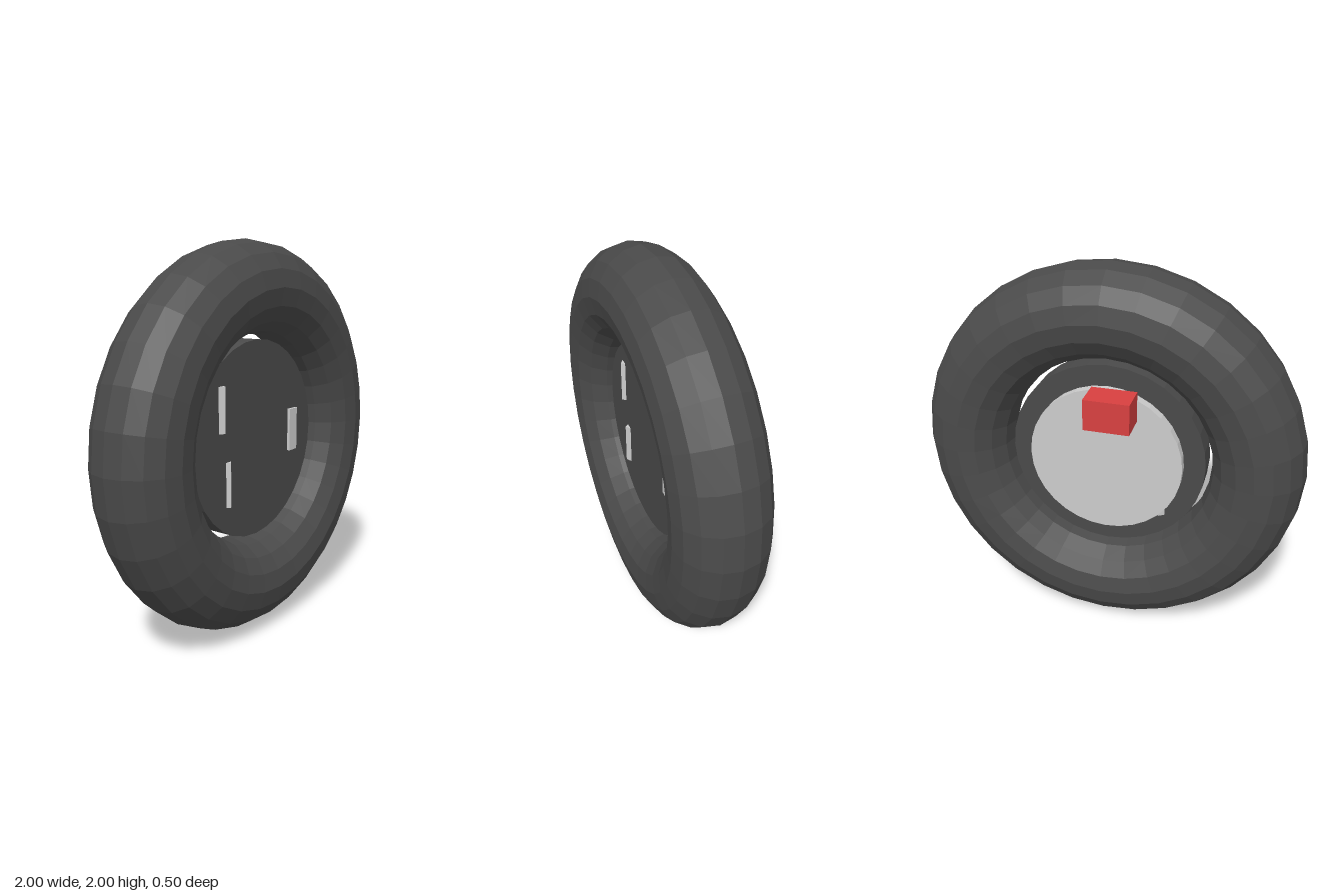
import * as THREE from 'three';

const mat = (name, color, flatShading = false) => {
  const m = new THREE.MeshStandardMaterial({ color, flatShading });
  m.name = name;
  return m;
};

export function createModel() {
  const group = new THREE.Group();
  const dark = mat('dark rubber', 0x4a4a4a, true);
  const grey = mat('light grey', 0xcccccc, true);
  const red = mat('red', 0xd84040, true);
  const CY = 1, CZ = 0.02; // wheel centre

  const add = (name, geometry, material, x, y, z) => {
    const mesh = new THREE.Mesh(geometry, material);
    mesh.name = name;
    mesh.position.set(x, y, z);
    group.add(mesh);
    return mesh;
  };
  // disc whose axis runs along z, between two depths
  const disc = (name, radius, z0, z1, material) =>
    add(name, new THREE.CylinderGeometry(radius, radius, z1 - z0, 32).rotateX(Math.PI / 2),
      material, 0, CY, (z0 + z1) / 2);

  // tyre
  add('tyre', new THREE.TorusGeometry(0.767, 0.233, 16, 32), dark, 0, CY, CZ);

  // hub plate with a narrow gap to the tyre, and the brake disc behind it
  disc('hubPlate', 0.51, -0.05, 0.09, dark);
  disc('brakeDisc', 0.4, -0.098, -0.05, grey);

  // three lugs poking through the hub plate, each turned about its upright axis
  for (const a of [0, 0.8 * Math.PI, -0.8 * Math.PI]) {
    const lug = add('lug', new THREE.BoxGeometry(0.07, 0.23, 0.17), grey,
      0.325 * Math.cos(a), CY + 0.325 * Math.sin(a), CZ);
    lug.rotation.y = a;
  }

  // caliper at the back
  add('caliper', new THREE.BoxGeometry(0.23, 0.16, 0.152), red, -0.048, 1.33, -0.174);

  return group;
}
